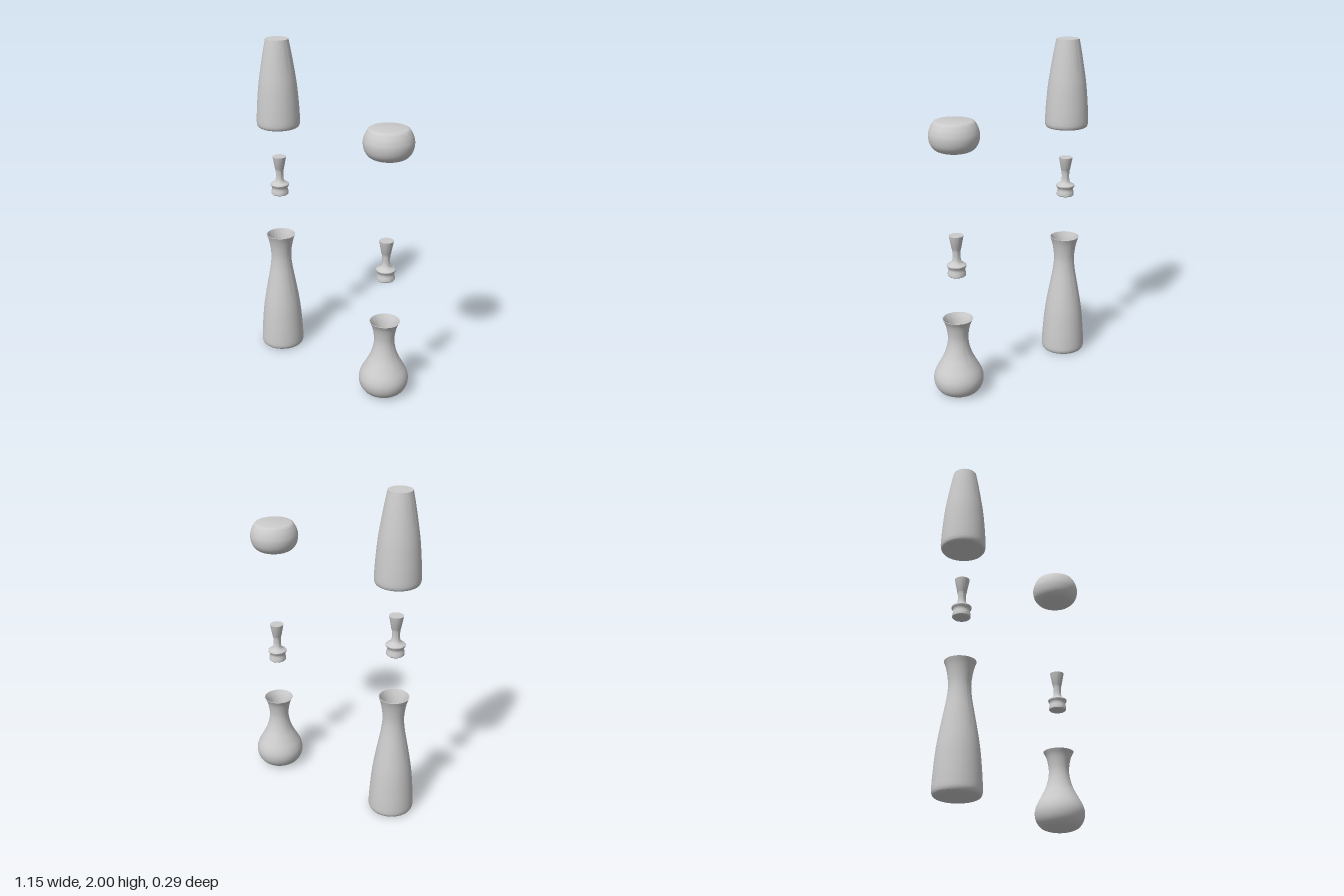
import * as THREE from 'three';
import { toCreasedNormals } from 'three/addons/utils/BufferGeometryUtils.js';

const material = new THREE.MeshStandardMaterial({ color: 0xcccccc, side: THREE.DoubleSide });

// Smooth run of [radius, height] points
const smooth = (pts, n = 32) =>
  new THREE.SplineCurve(pts.map(([r, y]) => new THREE.Vector2(r, y))).getPoints(n);
const line = (pts) => pts.map(([r, y]) => new THREE.Vector2(r, y));

// Turned part from a bottom-to-top profile, keeping hard rims sharp
function turned(name, profile, segments = 64) {
  const geometry = toCreasedNormals(new THREE.LatheGeometry(profile, segments), 0.6);
  const mesh = new THREE.Mesh(geometry, material);
  mesh.name = name;
  return mesh;
}

// Open vessel: outer wall, rim, then a thin inner wall back down to the floor
function vessel(name, outline, wall) {
  const outer = smooth(outline, 48);
  const inner = outer.map((p) => new THREE.Vector2(p.x - wall, Math.max(p.y, 0.008))).reverse();
  return turned(name, [new THREE.Vector2(0, 0), ...outer, ...inner, new THREE.Vector2(0, 0.008)]);
}

// Solid filling with flat ends
function filling(name, outline) {
  const side = smooth(outline);
  return turned(name, [
    new THREE.Vector2(0, side[0].y), ...side, new THREE.Vector2(0, side[side.length - 1].y),
  ]);
}

// Stopper: ribbed plug, flared collar, thin stem and tapered spout
function stopper() {
  return turned('stopper', [
    ...line([[0, 0], [0.047, 0], [0.052, 0.005], [0.052, 0.022]]),
    ...smooth([[0.051, 0.026], [0.048, 0.038], [0.05, 0.05], [0.056, 0.058]], 8),
    ...line([[0.057, 0.066]]),
    ...smooth([[0.054, 0.07], [0.036, 0.079], [0.027, 0.092], [0.023, 0.112], [0.023, 0.135], [0.025, 0.16]], 18),
    ...line([[0.027, 0.163], [0.042, 0.243], [0, 0.243]]),
  ], 48);
}

export function createModel() {
  const model = new THREE.Group();
  model.name = 'cruetSet';
  const sets = [
    {
      name: 'tall', x: -0.444, stopperY: 1.035,
      vase: [[0.112, 0], [0.125, 0.006], [0.133, 0.022], [0.134, 0.05], [0.129, 0.14], [0.118, 0.26],
        [0.103, 0.36], [0.083, 0.47], [0.069, 0.55], [0.063, 0.62], [0.068, 0.68], [0.078, 0.73], [0.09, 0.765]],
      fill: [[0.108, 1.47], [0.122, 1.475], [0.129, 1.49], [0.13, 1.52], [0.125, 1.61],
        [0.114, 1.73], [0.099, 1.83], [0.082, 1.93], [0.068, 2]],
    },
    {
      name: 'round', x: 0.426, stopperY: 0.738,
      vase: [[0.08, 0], [0.112, 0.015], [0.138, 0.05], [0.147, 0.095], [0.137, 0.14], [0.111, 0.19],
        [0.083, 0.245], [0.066, 0.3], [0.06, 0.35], [0.065, 0.4], [0.075, 0.44], [0.09, 0.47]],
      fill: [[0.076, 1.47], [0.108, 1.483], [0.133, 1.515], [0.142, 1.56], [0.134, 1.6],
        [0.117, 1.632], [0.108, 1.64], [0.096, 1.643]],
    },
  ];
  // Each set is an exploded column: vessel, stopper, filling
  for (const s of sets) {
    const column = new THREE.Group();
    column.name = `${s.name}Cruet`;
    column.position.x = s.x;
    const plug = stopper();
    plug.position.y = s.stopperY;
    column.add(vessel('vessel', s.vase, 0.005), plug, filling('filling', s.fill));
    model.add(column);
  }
  return model;
}
